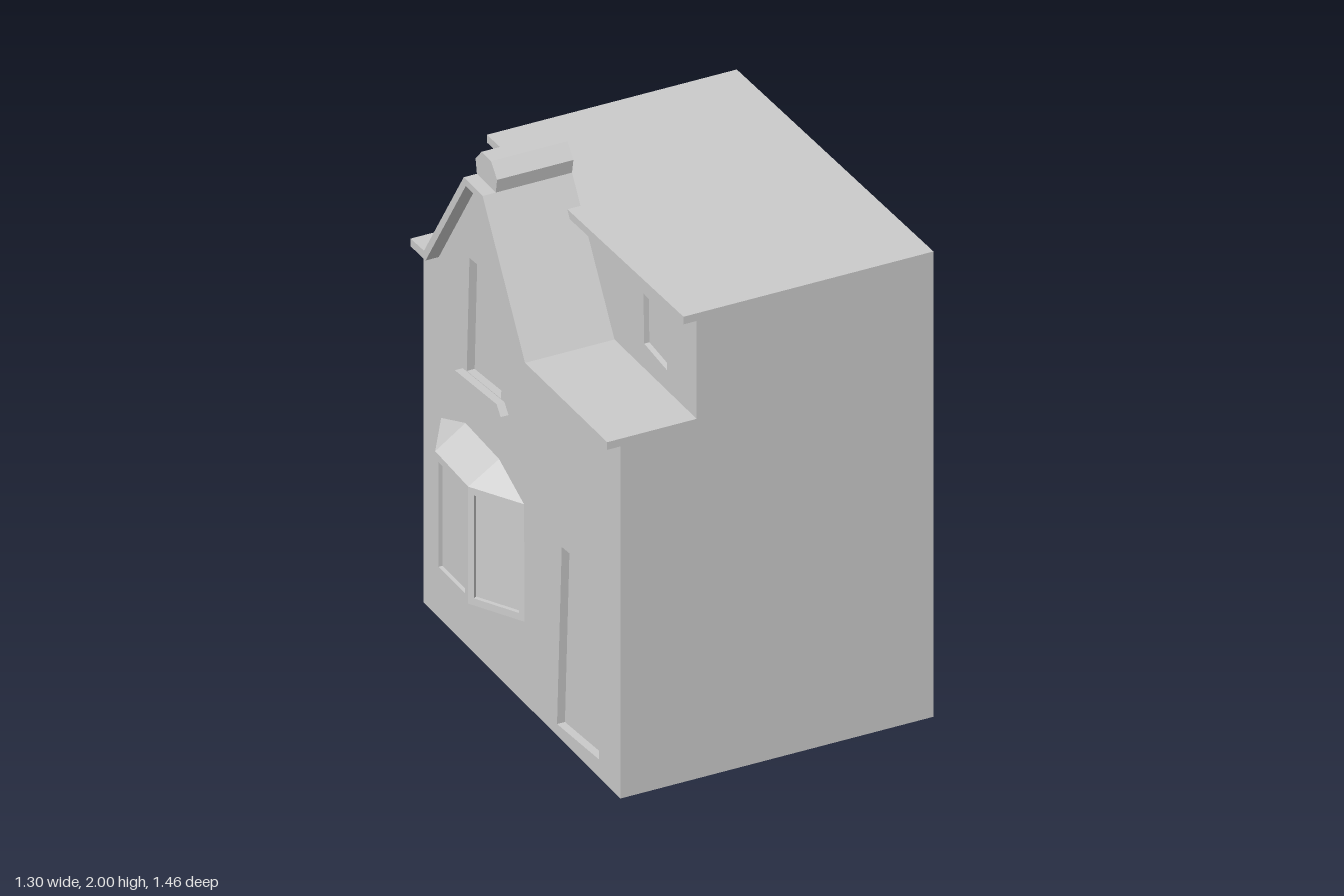
import * as THREE from 'three';

const material = new THREE.MeshStandardMaterial({ color: 0xcccccc, flatShading: true, side: THREE.DoubleSide });
const FACADE = -0.54, EAVE = -0.59, SETBACK = -0.25, LIP = -0.3, OPEN = 0.65, END = 0.73;
const roofY = (z) => 1.8025 + 0.0377 * z;
const v = (x, y, z) => new THREE.Vector3(x, y, z);

// points given as [z, y] placed on the plane at x
const at = (x, pts) => pts.map(([z, y]) => v(x, y, z));

// band of quads between two polylines of equal length
function strip(a, b, closed = false) {
  const pts = [];
  const n = a.length;
  for (let i = 0; i < (closed ? n : n - 1); i++) {
    const j = (i + 1) % n;
    pts.push(a[i], a[j], b[j], a[i], b[j], b[i]);
  }
  const g = new THREE.BufferGeometry().setFromPoints(pts);
  g.computeVertexNormals();
  return g;
}

function shape(pts, holes = []) {
  const s = new THREE.Shape(pts.map((p) => new THREE.Vector2(...p)));
  for (const h of holes) s.holes.push(new THREE.Path(h.map((p) => new THREE.Vector2(...p))));
  return s;
}

// flat sheet facing -x, outline in [z, y]
const sheet = (x, pts, holes) =>
  new THREE.ShapeGeometry(shape(pts, holes)).rotateY(-Math.PI / 2).translate(x, 0, 0);

// solid with a [z, y] outline reaching from xMax towards -x
const solid = (xMax, depth, pts) =>
  new THREE.ExtrudeGeometry(shape(pts), { depth, bevelEnabled: false }).rotateY(-Math.PI / 2).translate(xMax, 0, 0);

function add(parent, name, ...geometries) {
  for (const g of geometries) {
    const mesh = new THREE.Mesh(g, material);
    mesh.name = name;
    parent.add(mesh);
  }
}

// pane set back behind a four-cornered opening, with its reveals
function recess(q, depth) {
  const inward = q[3].clone().sub(q[0]).cross(q[1].clone().sub(q[0])).normalize().multiplyScalar(depth);
  const back = q.map((p) => p.clone().add(inward));
  return [strip(q, back, true), strip([back[0], back[1]], [back[3], back[2]])];
}

function addBayWindow(parent) {
  const bay = new THREE.Group();
  bay.name = 'bayWindow';
  const top = [v(FACADE, 0.78, 0.015), v(-0.655, 0.78, -0.175), v(-0.655, 0.79, -0.42), v(FACADE, 0.795, -0.6)];
  const low = [v(FACADE, 0.32, 0.02), v(-0.655, 0.32, -0.175), v(-0.655, 0.32, -0.42), v(FACADE, 0.32, -0.585)];
  const peak = at(FACADE, [[-0.17, 0.86], [-0.17, 0.86], [-0.42, 0.87], [-0.42, 0.87]]);
  const keel = at(FACADE, [[-0.15, 0.29], [-0.15, 0.29], [-0.42, 0.29], [-0.42, 0.29]]);
  add(bay, 'bayRoof', strip(peak, top));
  add(bay, 'bayUnderside', strip(low, keel));
  for (let i = 0; i < 3; i++) {
    const outer = [top[i], top[i + 1], low[i + 1], low[i]];
    const point = (s, t) => outer[0].clone().lerp(outer[1], s).lerp(outer[3].clone().lerp(outer[2], s), t);
    const inner = [point(0.1, 0.06), point(0.9, 0.06), point(0.9, 0.94), point(0.1, 0.94)];
    add(bay, 'bayFrame', strip(outer, inner, true));
    add(bay, 'bayPane', ...recess(inner, 0.015));
  }
  parent.add(bay);
  // outline of the opening in the facade
  return [low[0], keel[1], keel[2], low[3], top[3], peak[2], peak[1], top[0]].map((p) => [p.z, p.y]);
}

export function createModel() {
  const house = new THREE.Group();
  house.name = 'house';

  // eaves and gable line, upper and lower edge of the trim
  const upper = [[END, 1.415], [0.12, 1.405], [-0.195, 1.895], [-0.335, 1.895], [-0.63, 1.45], [-END, 1.445]];
  const lower = [[END, 1.385], [0.108, 1.375], [-0.21, 1.868], [-0.32, 1.868], [-0.618, 1.418], [-END, 1.415]];

  // facade with its openings
  const door = [[0.6, 0.785], [0.295, 0.76], [0.26, 0.045], [0.57, 0.07]];
  const gableWindow = [[-0.14, 1.555], [-0.39, 1.535], [-0.41, 1.08], [-0.155, 1.105]];
  const bayHole = addBayWindow(house);
  add(house, 'facade', sheet(FACADE, [[-END, 0], [END, 0], ...lower], [door, gableWindow, bayHole]));
  add(house, 'door', ...recess(at(FACADE, door), 0.03));
  add(house, 'gableWindow', ...recess(at(FACADE, gableWindow), 0.03));
  add(house, 'windowSill', solid(FACADE, 0.03, [[-0.1, 1.07], [-0.13, 1.105], [-0.44, 1.075], [-0.46, 1.03]]));

  // ledge and gable roof with its trim
  add(house, 'gableRoof', strip(at(SETBACK, upper), at(EAVE, upper)));
  add(house, 'gableTrim', strip(at(EAVE, upper), at(EAVE, lower)), strip(at(EAVE, lower), at(FACADE, lower)));
  add(house, 'ridgeCap', solid(SETBACK, FACADE * -1 + SETBACK,
    [[-0.195, 1.895], [-0.185, 1.95], [-0.23, 2], [-0.3, 2], [-0.345, 1.95], [-0.335, 1.895]]));

  // set-back attic wall on both sides of the gable
  const atticWindow = [[0.51, 1.69], [0.335, 1.7], [0.34, 1.505], [0.51, 1.49]];
  add(house, 'atticWall',
    sheet(SETBACK, [upper[0], [END, roofY(END)], [-0.133, roofY(-0.133)], upper[1]], [atticWindow]),
    sheet(SETBACK, [upper[5], upper[4], [-0.403, roofY(-0.403)], [-END, roofY(-END)]]));
  add(house, 'atticWindow', ...recess(at(SETBACK, atticWindow), 0.02));

  // main roof and its projecting lip, interrupted by the gable
  const slope = [[-END, roofY(-END)], [END, roofY(END)]];
  add(house, 'mainRoof', strip(at(SETBACK, slope), at(OPEN, slope)));
  const lip = (z) => [[SETBACK, 0], [LIP, 0], [LIP, -0.03], [SETBACK, -0.03]].map(([x, dy]) => v(x, roofY(z) + dy, z));
  for (const [z0, z1] of [[-0.133, END], [-END, -0.41]]) add(house, 'roofLip', strip(lip(z0), lip(z1)));

  // end walls, including the ends of ledge and roof lip
  for (const [z, eave] of [[END, 1.415], [-END, 1.445]]) {
    const y = roofY(z);
    add(house, z > 0 ? 'frontWall' : 'backWall', new THREE.ShapeGeometry(shape([
      [FACADE, 0], [OPEN, 0], [OPEN, y], [LIP, y], [LIP, y - 0.03], [SETBACK, y - 0.03],
      [SETBACK, eave], [EAVE, eave], [EAVE, eave - 0.03], [FACADE, eave - 0.03],
    ])).rotateY(z > 0 ? 0 : Math.PI).scale(z > 0 ? 1 : -1, 1, 1).translate(0, 0, z));
  }
  return house;
}
